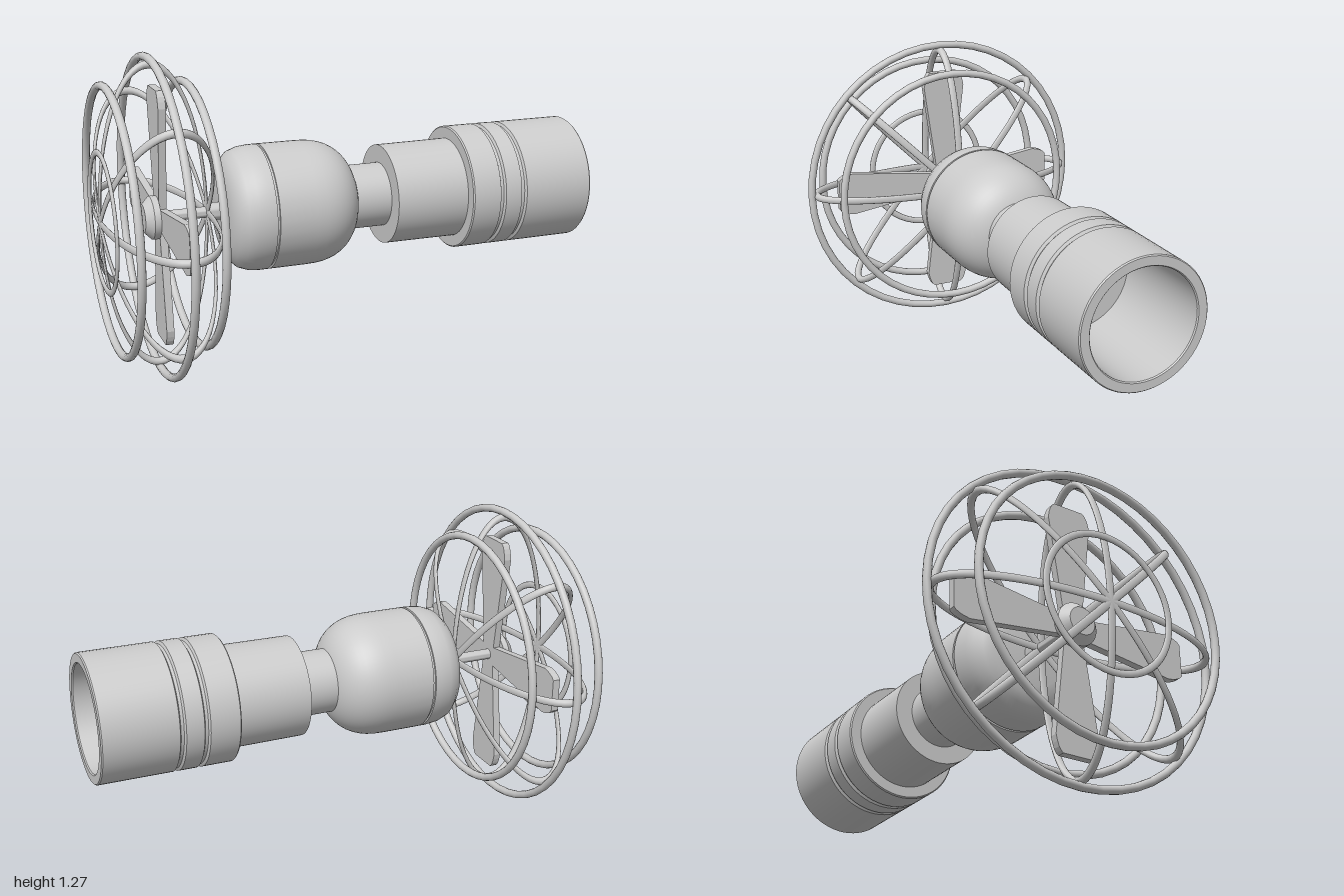
import * as THREE from 'three';
import { toCreasedNormals } from 'three/addons/utils/BufferGeometryUtils.js';

const AXIS_Y = 0.635; // height of the long axis
const CAGE_X = -0.785; // middle of the fan cage

export function createModel() {
  const model = new THREE.Group();
  const material = new THREE.MeshStandardMaterial({ color: 0xcccccc });

  function add(name, geometry, x = 0, parent = model) {
    const mesh = new THREE.Mesh(geometry, material);
    mesh.name = name;
    mesh.position.x = x;
    parent.add(mesh);
    return mesh;
  }

  // Turned part along x from [x, radius] pairs
  function turned(name, profile, segments = 64) {
    const points = profile.map(([x, r]) => new THREE.Vector2(r, x));
    const geometry = new THREE.LatheGeometry(points, segments).rotateZ(-Math.PI / 2);
    return add(name, toCreasedNormals(geometry, 0.55));
  }

  // Motor housing: rounded back cap, seam groove and domed front
  const dome = [];
  for (let i = 0; i <= 14; i++) {
    const a = (i / 14) * Math.PI / 2;
    dome.push([-0.2 + 0.23 * Math.sin(a) ** 0.8, 0.25 * Math.max(0, Math.cos(a)) ** 0.8]);
  }
  turned('motorHousing', [
    [-0.52, 0], [-0.52, 0.13], [-0.513, 0.17], [-0.497, 0.205], [-0.47, 0.232],
    [-0.435, 0.245], [-0.39, 0.25], [-0.365, 0.25], [-0.365, 0.242], [-0.355, 0.242],
    [-0.355, 0.25], ...dome,
  ]);

  // Neck and stepped sleeve
  turned('neck', [[-0.05, 0], [-0.05, 0.13], [0.17, 0.13], [0.17, 0]]);
  turned('sleeve', [[0.155, 0], [0.155, 0.203], [0.48, 0.205], [0.48, 0]]);

  // Open socket with two grooves and a bore
  const socket = [[0.46, 0], [0.46, 0.25], [0.465, 0.255]];
  for (const x of [0.595, 0.69]) {
    socket.push([x - 0.012, 0.255], [x - 0.006, 0.244], [x + 0.006, 0.244], [x + 0.012, 0.255]);
  }
  socket.push([0.995, 0.255], [1, 0.251], [1, 0.217], [0.995, 0.213], [0.52, 0.213], [0.52, 0]);
  turned('socket', socket);

  // Fan shaft, collar and hub
  turned('shaft', [[-0.79, 0], [-0.79, 0.022], [-0.5, 0.022], [-0.5, 0]], 24);
  turned('shaftCollar', [[-0.58, 0], [-0.58, 0.035], [-0.5, 0.035], [-0.5, 0]], 24);
  turned('hub', [[-0.83, 0], [-0.83, 0.055], [-0.8, 0.085], [-0.775, 0.085], [-0.775, 0]], 32);

  // Four flat blades that widen outwards
  const outline = new THREE.Shape();
  outline.moveTo(-0.035, 0);
  outline.lineTo(-0.094, 0.44);
  outline.quadraticCurveTo(-0.085, 0.495, -0.065, 0.505);
  outline.lineTo(0.065, 0.505);
  outline.quadraticCurveTo(0.085, 0.495, 0.094, 0.44);
  outline.lineTo(0.035, 0);
  const bladeGeometry = new THREE.ExtrudeGeometry(outline, { depth: 0.03, bevelEnabled: false, curveSegments: 4 });
  bladeGeometry.rotateY(Math.PI / 2);
  const blades = new THREE.Group();
  blades.name = 'blades';
  model.add(blades);
  for (let i = 0; i < 4; i++) {
    add('blade', bladeGeometry, -0.775, blades).rotation.x = i * Math.PI / 2;
  }

  // Cage hoops around the axis: x, radius, tube, flattening along x
  const cage = new THREE.Group();
  cage.name = 'cage';
  model.add(cage);
  const hoops = [[-0.95, 0.518, 0.016, 1], [CAGE_X, 0.619, 0.016, 1], [-0.645, 0.518, 0.016, 1], [-0.983, 0.268, 0.014, 0.5]];
  for (const [x, radius, tube, flat] of hoops) {
    const geometry = new THREE.TorusGeometry(radius, tube, 12, 48).rotateY(Math.PI / 2).scale(flat, 1, 1);
    add('cageHoop', geometry, x, cage);
  }

  // Flattened ribs that cross on the axis
  const rib = new THREE.TorusGeometry(0.595, 0.016, 12, 64).scale(0.35, 1, 1);
  for (let i = 0; i < 4; i++) {
    add('cageRib', rib, CAGE_X, cage).rotation.x = i * Math.PI / 4;
  }

  model.position.y = AXIS_Y;
  const root = new THREE.Group();
  root.name = 'handheldFan';
  root.add(model);
  return root;
}
